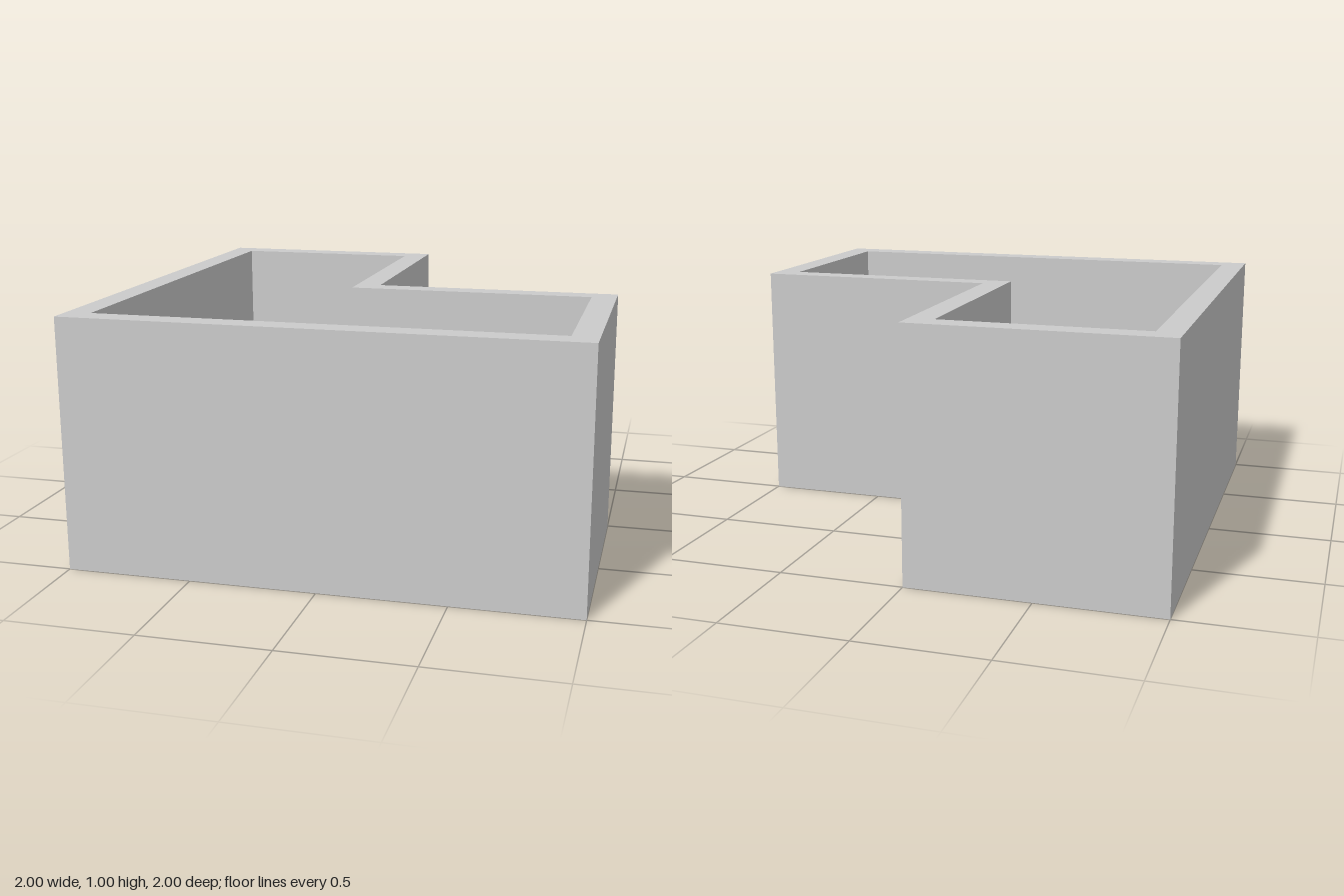
import * as THREE from 'three';

// Closed plan outline from [x, z] corners; z is negated so it lies correctly once laid flat
const outline = (corners) => corners.map(([x, z]) => new THREE.Vector2(x, -z));

export function createModel() {
  const group = new THREE.Group();
  group.name = 'lShapedEnclosure';

  // L-shaped wall ring, open at top and bottom
  const plan = new THREE.Shape(outline([[-1, 1], [1, 1], [1, 0], [0, 0], [0, -1], [-1, -1]]));
  plan.holes.push(new THREE.Path(outline([
    [-0.9, 0.9], [-0.9, -0.9], [-0.1, -0.9], [-0.1, 0.09], [0.9, 0.09], [0.9, 0.9],
  ])));

  // Raise the plan to wall height
  const geometry = new THREE.ExtrudeGeometry(plan, { depth: 1, bevelEnabled: false });
  geometry.rotateX(-Math.PI / 2);

  const walls = new THREE.Mesh(
    geometry,
    new THREE.MeshStandardMaterial({ color: 0xcccccc, flatShading: true }),
  );
  walls.name = 'walls';
  group.add(walls);
  return group;
}
